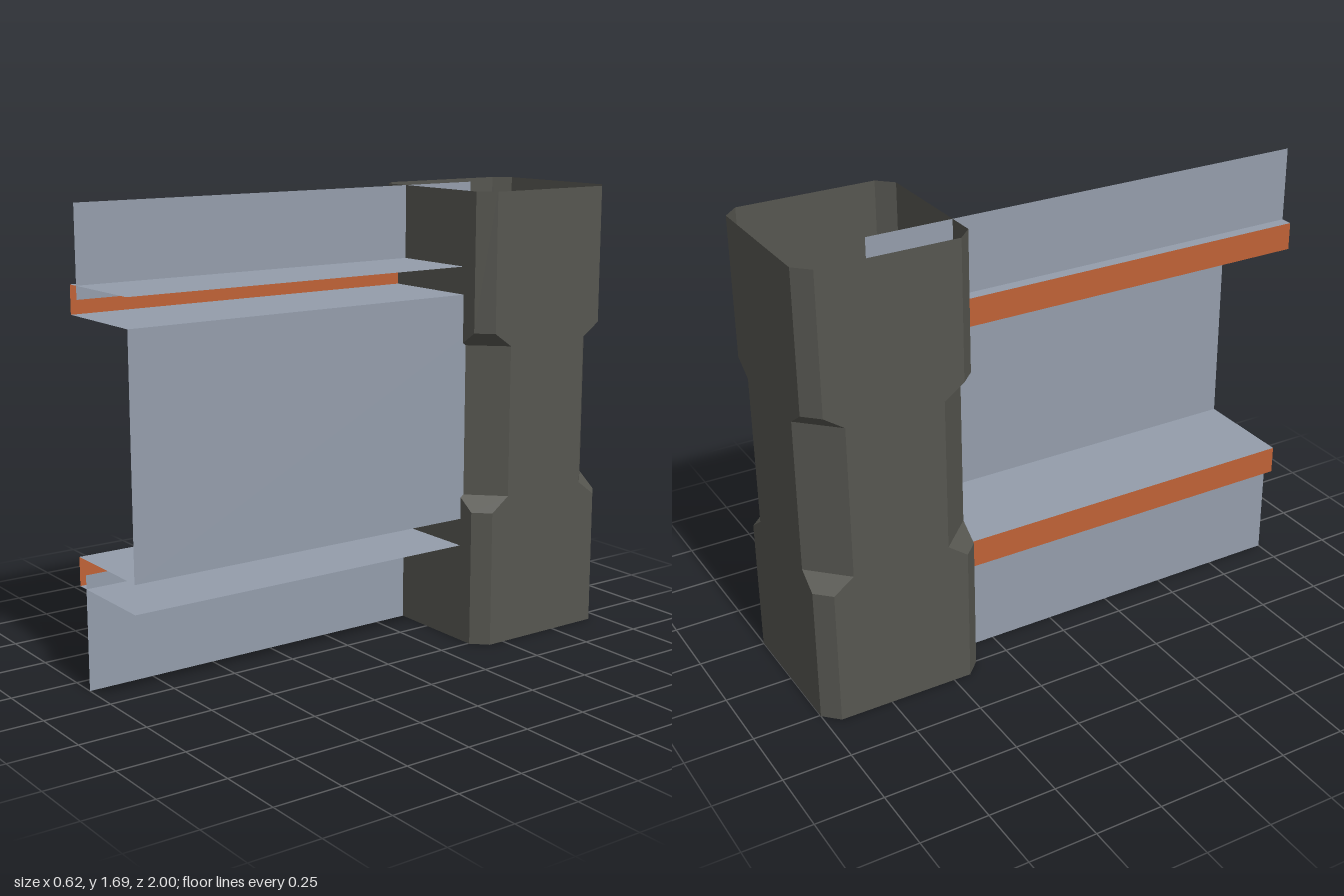
import * as THREE from 'three';

const steel = new THREE.MeshStandardMaterial({ name: 'blue grey steel', color: 0x949dab, side: THREE.DoubleSide });
const orange = new THREE.MeshStandardMaterial({ name: 'rust orange', color: 0xbf6236, side: THREE.DoubleSide });
const dark = new THREE.MeshStandardMaterial({ name: 'dark olive grey', color: 0x565650, side: THREE.DoubleSide, flatShading: true });

const HEIGHT = 1.69, HALF = 0.31, POST_Z = -0.69;
const BEAM_BACK = -0.695, BEAM_FRONT = 1;

// Square ring with chamfered corners, counter-clockwise from above
function ring(y, c) {
  const a = HALF, b = HALF - c;
  return [[-b, a], [b, a], [a, b], [a, -b], [b, -a], [-b, -a], [-a, -b], [-a, b]].map(([x, z]) => [x, y, z]);
}

// Open tube whose corner chamfers widen in the middle
function postGeometry() {
  const rings = [[0, 0.055], [0.51, 0.055], [0.565, 0.13], [1.128, 0.13], [1.18, 0.055], [HEIGHT, 0.055]]
    .map(([y, c]) => ring(y, c));
  const positions = [];
  for (let r = 0; r < rings.length - 1; r++) {
    for (let i = 0; i < 8; i++) {
      const j = (i + 1) % 8, lo = rings[r], hi = rings[r + 1];
      positions.push(...lo[i], ...lo[j], ...hi[j], ...lo[i], ...hi[j], ...hi[i]);
    }
  }
  const geometry = new THREE.BufferGeometry();
  geometry.setAttribute('position', new THREE.Float32BufferAttribute(positions, 3));
  geometry.computeVertexNormals();
  return geometry;
}

// Thin sheet running along the beam between two points of its cross-section
function sheet(name, x0, y0, x1, y1, material) {
  const width = Math.hypot(x1 - x0, y1 - y0);
  const geometry = new THREE.PlaneGeometry(width, BEAM_FRONT - BEAM_BACK);
  geometry.rotateX(-Math.PI / 2);
  geometry.rotateZ(Math.atan2(y1 - y0, x1 - x0));
  geometry.translate((x0 + x1) / 2, (y0 + y1) / 2, (BEAM_FRONT + BEAM_BACK) / 2);
  const mesh = new THREE.Mesh(geometry, material);
  mesh.name = name;
  return mesh;
}

export function createModel() {
  const model = new THREE.Group();
  model.name = 'postAndBeam';

  const post = new THREE.Mesh(postGeometry(), dark);
  post.name = 'post';
  post.position.z = POST_Z;
  model.add(post);

  const beam = new THREE.Group();
  beam.name = 'beam';
  const L = -0.195, R = 0.193, FIN = -0.15;
  const inner = 1.315, outer = 1.417, finEnd = 1.37;

  // Central web on the left side of the beam
  beam.add(sheet('web', R, HEIGHT - 0.002 - inner + 0.1, R, inner, steel));

  // Ledges, stripe and fin, mirrored above and below
  for (const [side, fy] of [['upper', y => y], ['lower', y => HEIGHT + 0.1 - y - 0.1]]) {
    const low = side === 'lower';
    const yInner = low ? 0.475 : inner, yOuter = low ? 0.37 : outer;
    const yFin = low ? 0.42 : finEnd;
    beam.add(sheet(side + 'InnerLedge', L, yInner, R, yInner, steel));
    beam.add(sheet(side + 'OuterLedge', L, yOuter, R, yOuter, steel));
    beam.add(sheet(side + 'Stripe', L, Math.min(yInner, yOuter), L, Math.max(yInner, yOuter), orange));
    beam.add(sheet(side + 'Fin', FIN, Math.min(yFin, fy(HEIGHT)), FIN, Math.max(yFin, fy(HEIGHT)), steel));
  }
  model.add(beam);
  return model;
}
